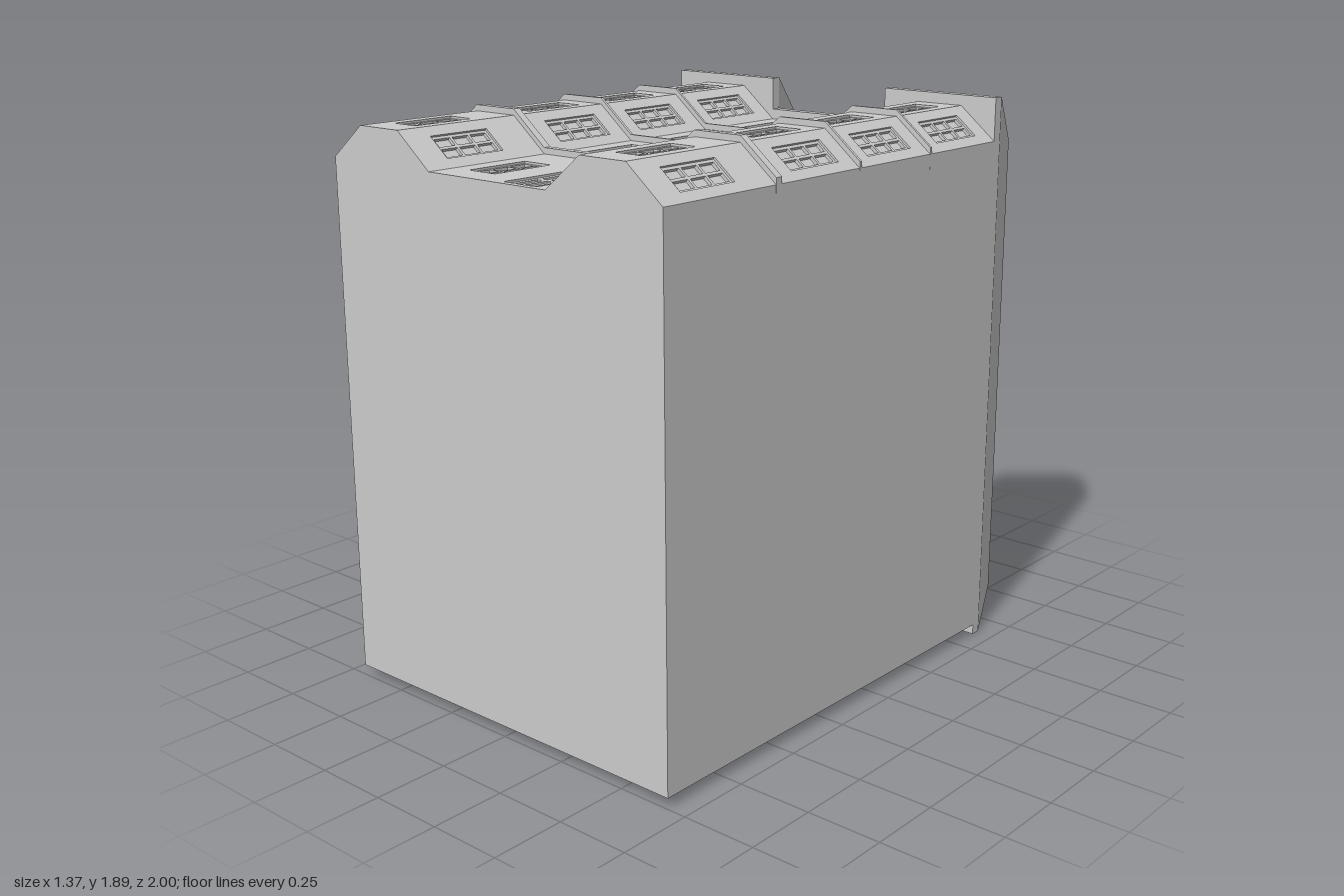
import * as THREE from 'three';

const material = new THREE.MeshStandardMaterial({ color: 0xcccccc, flatShading: true });
const DEPTH = 0.022; // depth of the window recesses
const BACK = -0.61, FRONT = 1, BASE = 0.035;

// facade outline across the width: bays either side of a lower centre
const half = [[0.245, 1.745], [0.38, 1.855], [0.553, 1.855], [0.685, 1.748]];
const profile = [...half.map(([x, y]) => [-x, y]).reverse(), ...half];

function add(parent, name, geometry, x = 0, y = 0, z = 0) {
  const mesh = new THREE.Mesh(geometry, material);
  mesh.name = name;
  mesh.position.set(x, y, z);
  parent.add(mesh);
  return mesh;
}

const shapeOf = (points) => new THREE.Shape(points.map(([x, y]) => new THREE.Vector2(x, y)));

const rect = (x, y, w, h) => [
  [x - w / 2, y - h / 2], [x + w / 2, y - h / 2], [x + w / 2, y + h / 2], [x - w / 2, y + h / 2],
];

// slice of the facade outline, from a base height up to the outline plus an offset
function slice(parent, name, base, offset, z0, z1) {
  const points = [[-0.685, base], [0.685, base], ...profile.map(([x, y]) => [x, y + offset]).reverse()];
  const geometry = new THREE.ExtrudeGeometry(shapeOf(points), { depth: z1 - z0, bevelEnabled: false });
  return add(parent, name, geometry, 0, 0, z0);
}

// glazing bars filling an opening in a wall panel
function bars(parent, name, o, cols, rows, width) {
  const group = new THREE.Group();
  group.name = name;
  group.position.set(o.x, -0.015, o.z);
  const h = 0.016;
  for (let i = 0; i <= cols; i++) {
    const x = -o.w / 2 + width / 2 + (i / cols) * (o.w - width);
    add(group, 'uprightBar', new THREE.BoxGeometry(width, h, o.l), x);
  }
  rows.forEach((t) => {
    const z = -o.l / 2 + width / 2 + t * (o.l - width);
    add(group, 'crossBar', new THREE.BoxGeometry(o.w, h, width), 0, 0, z);
  });
  parent.add(group);
}

// one facade plane with real openings; its inner edges are mitred to meet its neighbours
function wallPanel(parent, name, a, b, mitreA, mitreB, openings) {
  const dx = b[0] - a[0], dy = b[1] - a[1], len = Math.hypot(dx, dy);
  const group = new THREE.Group();
  group.name = name;
  group.position.set((a[0] + b[0]) / 2, (a[1] + b[1]) / 2, 0);
  group.rotation.z = Math.atan2(dy, dx);

  const shape = shapeOf(rect(0, -(FRONT + BACK) / 2, len, FRONT - BACK));
  openings.forEach((o) => shape.holes.push(shapeOf(rect(o.x, -o.z, o.w, o.l))));
  const geometry = new THREE.ExtrudeGeometry(shape, { depth: DEPTH, bevelEnabled: false });
  geometry.rotateX(-Math.PI / 2).translate(0, -DEPTH, 0);
  const p = geometry.attributes.position;
  for (let i = 0; i < p.count; i++) {
    if (p.getY(i) > -DEPTH / 2) continue;
    if (p.getX(i) < -len / 2 + 1e-4) p.setX(i, -len / 2 - mitreA * DEPTH);
    if (p.getX(i) > len / 2 - 1e-4) p.setX(i, len / 2 + mitreB * DEPTH);
  }
  geometry.computeVertexNormals();
  add(group, 'wall', geometry);

  openings.forEach((o) => {
    if (o.door) bars(group, 'door', o, 3, [0, 0.24, 0.58, 1], 0.018);
    else bars(group, 'window', o, 2, [0, 1 / 3, 2 / 3, 1], 0.01);
  });
  parent.add(group);
}

function facade(parent) {
  const rows = [-0.428, -0.058, 0.313, 0.787];
  const windows = (x, w) => rows.map((z) => ({ x, z, w, l: 0.225 }));
  const slope = Math.atan2(0.11, 0.135), t = Math.tan(slope / 2);
  const centre = [...windows(-0.125, 0.112), ...windows(0.118, 0.112).slice(0, 3),
    { x: 0.12, z: 0.83, w: 0.136, l: 0.295, door: true }];
  const P = profile;
  const names = ['rightBayOuter', 'rightBayFace', 'rightBayInner', 'centreFace',
    'leftBayInner', 'leftBayFace', 'leftBayOuter'];
  const outer = Math.tan(slope);
  const mitres = [[outer, -t], [-t, -t], [-t, t], [t, t], [t, -t], [-t, -t], [-t, outer]];
  names.forEach((name, i) => {
    const openings = i === 3 ? centre : windows(0, 0.095);
    wallPanel(parent, name, P[i], P[i + 1], mitres[i][0], mitres[i][1], openings);
  });
}

// gable roof block: tapers towards the ridge, with a sloping upper end
function gable(parent, side) {
  const plan = [[-0.22, 0.645], [0.22, 0.645], [0.04, 1], [-0.03, 1]];
  const points = plan.map(([x, y]) => [side * x, y]);
  const geometry = new THREE.ExtrudeGeometry(shapeOf(points), { depth: 1, bevelEnabled: false });
  geometry.rotateX(-Math.PI / 2);
  const p = geometry.attributes.position;
  for (let i = 0; i < p.count; i++) {
    const k = (-p.getZ(i) - 0.645) / 0.355;
    p.setY(i, p.getY(i) > 0.5 ? 1.89 - 0.195 * k : 0.015 * k);
  }
  geometry.computeVertexNormals();
  const name = side > 0 ? 'leftGable' : 'rightGable';
  add(parent, name + 'Roof', geometry, side * 0.465);
  add(parent, name + 'Eave', new THREE.BoxGeometry(0.44, 1.89, 0.035), side * 0.465, 0.945, -0.6275);
}

export function createModel() {
  const model = new THREE.Group();
  model.name = 'townhouse';

  // solid body behind the facade panels
  slice(model, 'body', BASE, -DEPTH, BACK, FRONT);
  facade(model);

  // string courses between storeys
  [[-0.246, -0.237], [0.125, 0.135], [0.504, 0.53]].forEach(([z0, z1]) =>
    slice(model, 'stringCourse', 1.7, 0.02, z0, z1).scale.set(1.0005, 1, 1));

  // roof: central slopes between two gables
  add(model, 'centreEave', new THREE.BoxGeometry(0.49, 1.78, 0.035), 0, 0.89, -0.6275);
  const section = [[0.645, 0], [0.905, 0.85], [0.905, 0.9], [0.645, 1.78]];
  const roof = new THREE.ExtrudeGeometry(shapeOf(section), { depth: 0.8, bevelEnabled: false });
  add(model, 'mainRoof', roof.rotateY(Math.PI / 2), -0.4);
  [-1, 1].forEach((side) => gable(model, side));

  return model;
}
